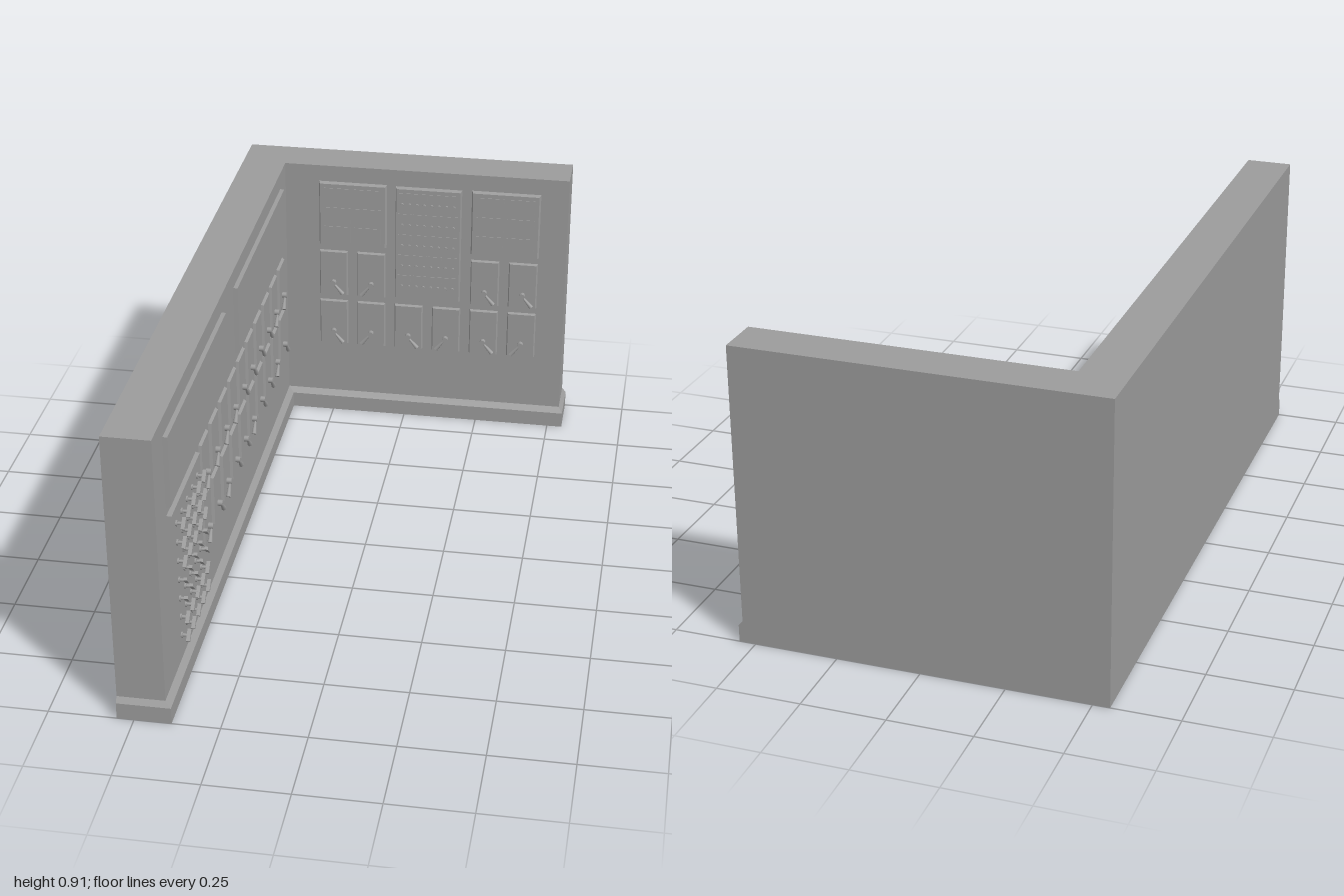
import * as THREE from 'three';

const material = new THREE.MeshStandardMaterial({ color: 0x9b9b9b, side: THREE.DoubleSide });

function addMesh(parent, name, geometry, x = 0, y = 0, z = 0) {
  const mesh = new THREE.Mesh(geometry, material);
  mesh.name = name;
  mesh.position.set(x, y, z);
  parent.add(mesh);
  return mesh;
}

// Box whose back lies on z = 0 and whose front edges are bevelled inwards
function plateGeometry(w, h, depth, inset = 0) {
  const box = new THREE.BoxGeometry(w, h, depth).translate(0, 0, depth / 2);
  const p = box.attributes.position;
  for (let i = 0; i < p.count; i++) {
    if (p.getZ(i) > depth / 2) {
      p.setX(i, p.getX(i) - Math.sign(p.getX(i)) * inset);
      p.setY(i, p.getY(i) - Math.sign(p.getY(i)) * inset);
    }
  }
  box.computeVertexNormals();
  return box;
}

// Round part pointing out of the wall, from z = 0
const discGeometry = (radius, depth, sides = 12) =>
  new THREE.CylinderGeometry(radius, radius, depth, sides).rotateX(Math.PI / 2).translate(0, 0, depth / 2);

// L-shaped wall with a stepped plinth, open underneath
function bodyGeometry() {
  const outline = (end, inner) => [
    [-0.55, -1], [-0.55, 0.987 + end], [-0.409 + inner, 0.987 + end],
    [-0.409 + inner, -0.862 + inner], [0.537 + end, -0.862 + inner], [0.537 + end, -1],
  ];
  const rings = [[0, 0.013, 0.018], [0.052, 0.013, 0.018], [0.068, 0, 0], [0.914, 0, 0]]
    .map(([y, end, inner]) => outline(end, inner).map(([x, z]) => [x, y, z]));
  const v = [];
  const quad = (a, b, c, d) => v.push(...a, ...b, ...c, ...a, ...c, ...d);
  for (let r = 0; r < rings.length - 1; r++) {
    for (let i = 0; i < 6; i++) {
      const j = (i + 1) % 6;
      quad(rings[r][i], rings[r][j], rings[r + 1][j], rings[r + 1][i]);
    }
  }
  const t = rings[3];
  quad(t[0], t[1], t[2], t[3]);
  quad(t[0], t[3], t[4], t[5]);
  const g = new THREE.BufferGeometry();
  g.setAttribute('position', new THREE.Float32BufferAttribute(v, 3));
  g.computeVertexNormals();
  return g;
}

const switchPlate = plateGeometry(0.097, 0.166, 0.009, 0.004);
const pivot = discGeometry(0.0095, 0.019);
const arm = new THREE.CylinderGeometry(0.003, 0.008, 0.048, 8).translate(0, -0.026, 0);

// Plate with a slanting lever that widens to its tip; side is the lean, +1 or -1
function addSwitch(parent, x, y, side) {
  const unit = new THREE.Group();
  unit.name = 'leverSwitch';
  unit.position.set(x, y, 0);
  addMesh(unit, 'switchPlate', switchPlate);
  addMesh(unit, 'switchPivot', pivot, 0, -0.032, 0.005);
  addMesh(unit, 'switchLever', arm, 0, -0.032, 0.019).rotation.z = side * 0.7;
  parent.add(unit);
}

// Bevelled plate carrying a 2 x 3 block of displays
function addDisplayPanel(parent, x) {
  const panel = new THREE.Group();
  panel.name = 'displayPanel';
  panel.position.set(x, 0.743, 0);
  addMesh(panel, 'displayPlate', plateGeometry(0.229, 0.231, 0.012, 0.005));
  const screen = plateGeometry(0.09, 0.057, 0.002);
  for (const sx of [-0.051, 0.051]) {
    for (const sy of [-0.071, -0.002, 0.068]) addMesh(panel, 'displayScreen', screen, sx, sy, 0.012);
  }
  parent.add(panel);
}

// Controls of the short back wall
function backControls() {
  const g = new THREE.Group();
  g.name = 'backWallControls';
  g.position.z = -0.862;
  addDisplayPanel(g, -0.181);
  addDisplayPanel(g, 0.332);

  // Tall indicator panel: five rows of labels with buttons below
  addMesh(g, 'indicatorPlate', plateGeometry(0.222, 0.409, 0.014, 0.004), 0.074, 0.652, 0);
  const label = plateGeometry(0.045, 0.022, 0.002);
  const button = discGeometry(0.0055, 0.006, 10);
  for (let r = 0; r < 5; r++) {
    const y = 0.828 - r * 0.0752;
    for (let c = 0; c < 4; c++) addMesh(g, 'indicatorLabel', label, -0.004 + c * 0.052, y, 0.014);
    for (let c = 0; c < 8; c++) addMesh(g, 'indicatorButton', button, -0.013 + c * 0.0247, y - 0.03, 0.014);
  }

  for (let c = 0; c < 6; c++) {
    const x = -0.247 + c * 0.1287;
    const side = c % 2 ? -1 : 1;
    if (c < 2 || c > 3) addSwitch(g, x, 0.524, c === 5 ? 1 : side);
    addSwitch(g, x, 0.338, side);
  }
  return g;
}

// Controls of the long side wall; local x runs towards the back
function sideControls() {
  const g = new THREE.Group();
  g.name = 'sideWallControls';
  g.position.x = -0.409;
  g.rotation.y = Math.PI / 2;
  const board = plateGeometry(0.741, 0.222, 0.013, 0.001);
  for (const x of [-0.503, 0.4]) addMesh(g, 'blankBoard', board, x, 0.749, 0);

  // Panel of small turn handles, each a base, a stem and a cross bar
  addMesh(g, 'handlePlate', plateGeometry(0.35, 0.47, 0.014, 0.002), -0.7, 0.376, 0);
  const base = discGeometry(0.009, 0.005);
  const stem = discGeometry(0.005, 0.02, 8);
  const bar = new THREE.BoxGeometry(0.036, 0.009, 0.011);
  for (let r = 0; r < 7; r++) {
    for (let c = 0; c < 5; c++) {
      const x = -0.83 + c * 0.064;
      const y = 0.562 - r * 0.0625;
      addMesh(g, 'handleBase', base, x, y, 0.014);
      addMesh(g, 'handleStem', stem, x, y, 0.014);
      const handle = addMesh(g, 'turnHandle', bar, x, y, 0.036);
      handle.rotation.z = (r === 3 || r === 4 ? -1 : 1) * Math.PI / 4;
    }
  }

  // Two rows of lever switches
  const leans = [
    [-1, -1, -1, -1, 1, 1, 1, 1, -1, -1],
    [-1, 1, -1, 1, 1, -1, 1, 1, -1, 1],
  ];
  leans.forEach((row, r) => row.forEach((side, c) => {
    addSwitch(g, -0.437 + c * 0.1292, 0.525 - r * 0.187, side);
  }));
  return g;
}

export function createModel() {
  const model = new THREE.Group();
  model.name = 'controlWall';
  addMesh(model, 'wallBody', bodyGeometry());
  model.add(backControls(), sideControls());
  return model;
}
